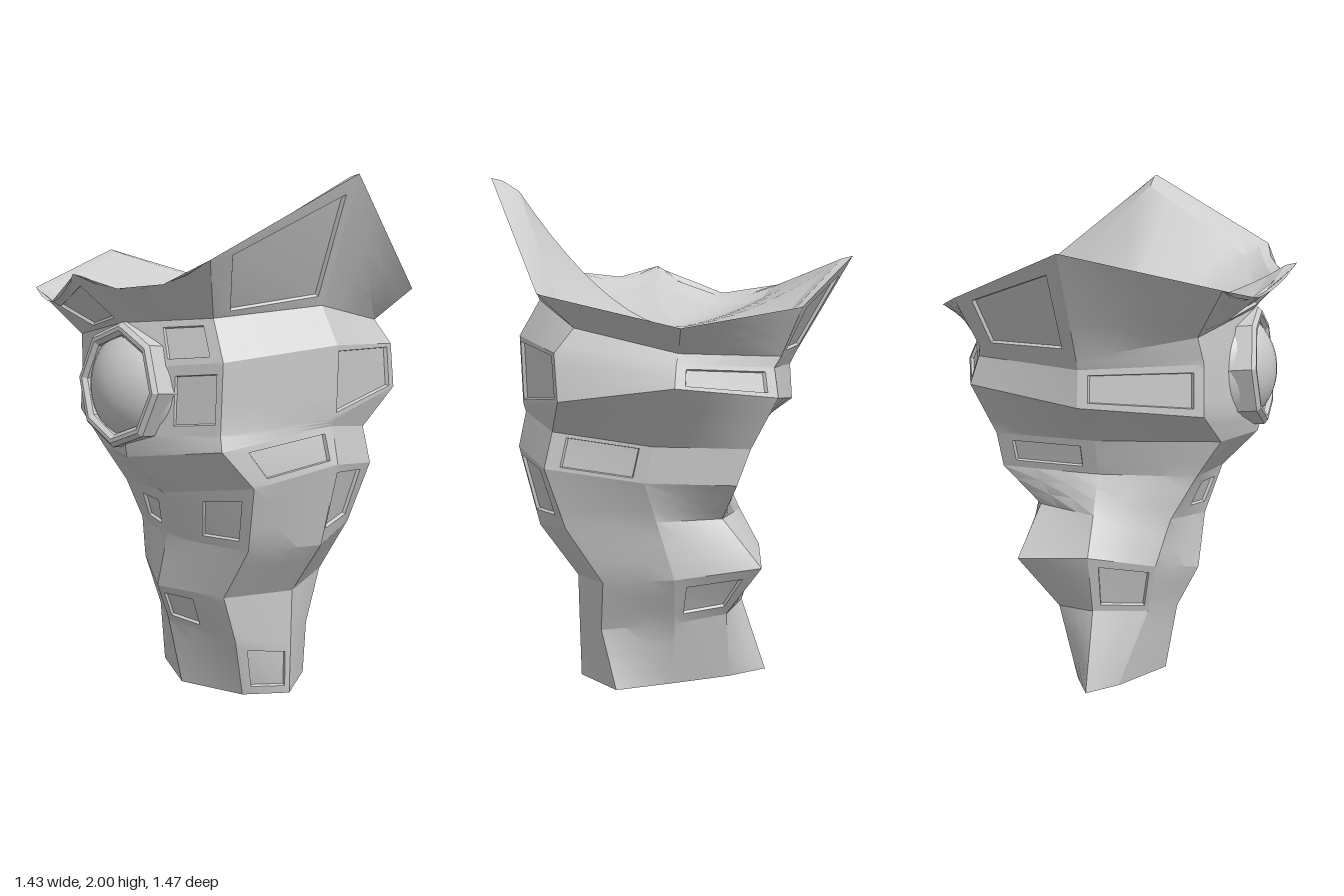
import * as THREE from 'three';
import { toCreasedNormals } from 'three/addons/utils/BufferGeometryUtils.js';

const V = (x, y, z) => new THREE.Vector3(x, y, z);
const mat = new THREE.MeshStandardMaterial({ color: 0xcccccc, side: THREE.DoubleSide });

// Eight-sided ring from its four extents; the diagonal corners are derived.
// Each extent is [distance, height]; front and back also carry a sideways shift.
// 'fr' and 'br' are how far the front right and back right corners bulge out.
function ring([lx, ly], [fz, fy, fx], [rx, ry], [bz, by, bx], fr = 0.76, br = 0.74) {
  const cx = (lx + rx) / 2, cz = (fz + bz) / 2, d = 0.76;
  const wx = (lx - rx) / 2, wz = (fz - bz) / 2;
  return [
    V(lx, ly, 0), V(cx + d * wx, (ly + fy) / 2, cz + d * wz),
    V(fx, fy, fz), V(cx - fr * wx, (fy + ry) / 2, cz + fr * wz),
    V(rx, ry, 0), V(cx - br * wx, (ry + by) / 2, cz - br * wz),
    V(bx, by, bz), V(cx + d * wx, (by + ly) / 2, cz - d * wz),
  ];
}

// Foot outline, then left, front, right and back extents up to the neck
const rings = [
  [
    V(0.38, 0, 0), V(0.27, 0, 0.15), V(0, 0, 0.23), V(-0.26, 0, 0.1),
    V(-0.38, 0, 0), V(-0.22, 0, -0.08), V(0.02, 0, -0.15), V(0.25, 0, -0.21),
  ],
  ring([0.385, 0.2], [0.28, 0.27, -0.02], [-0.28, 0.3], [-0.23, 0.27, 0.02], 0.67),
  ring([0.39, 0.42], [0.36, 0.43, 0.01], [-0.35, 0.53], [-0.33, 0.47, 0.03], 0.64, 0.9),
  ring([0.54, 0.63], [0.37, 0.64, 0.08], [-0.27, 0.68], [-0.34, 0.7, 0.1]),
  ring([0.62, 0.95], [0.43, 0.83, 0.13], [-0.2, 0.83], [-0.39, 0.86, 0.15], 0.88, 1),
  ring([0.59, 1.09], [0.575, 0.98, 0.1], [-0.25, 0.97], [-0.4, 1.0, 0.12], 0.8, 1),
  ring([0.6, 1.12], [0.595, 1.06, 0.11], [-0.48, 1.13], [-0.63, 1.24, 0.06]),
  ring([0.61, 1.39], [0.585, 1.31, 0.11], [-0.47, 1.27], [-0.59, 1.32, 0.05]),
  ring([0.53, 1.53], [0.56, 1.47, 0.06], [-0.49, 1.31], [-0.57, 1.36, 0.04]),
];
// Flared rim with uneven peaks; its two front edges sag between the corners
const rim = [
  V(0.71, 2, 0.01), V(0.52, 1.71, 0.54), V(0, 1.65, 0.73), V(-0.51, 1.57, 0.54),
  V(-0.72, 1.7, 0), V(-0.42, 1.52, -0.5), V(0.05, 1.46, -0.74), V(0.54, 1.57, -0.5),
];
rings.push(rim);
const rimSag = k => (k === 1 || k === 2 ? 0.075 : 0);
const sagAt = u => 4 * u * (1 - u);

// Recessed panels: 'band,side' -> [u0, u1, v0, v1]
const panels = {
  '0,0': [0.1, 0.8, 0.15, 0.85], '1,1': [0.5, 0.93, 0.15, 0.8], '1,3': [0.08, 0.85, 0.12, 0.85],
  '1,5': [0.15, 0.85, 0.2, 0.8], '3,1': [0.12, 0.55, 0.15, 0.8], '3,2': [0.15, 0.6, 0.25, 0.78],
  '3,7': [0.25, 0.96, 0.2, 0.9], '4,0': [0.08, 0.8, 0.15, 0.85], '4,4': [0.15, 0.85, 0.2, 0.8],
  '4,6': [0.12, 0.85, 0.1, 0.9], '6,1': [0.06, 0.48, 0.15, 0.85], '6,3': [0.08, 0.92, 0.15, 0.85],
  '6,5': [0.1, 0.9, 0.15, 0.85], '6,7': [0.08, 0.97, 0.07, 0.92], '7,1': [0.12, 0.55, 0.15, 0.85],
  '8,0': [0.06, 0.85, 0.08, 0.88], '8,2': [0.04, 0.55, 0.12, 0.82], '8,4': [0.12, 0.85, 0.1, 0.85],
};

function pushQuad(out, a, b, c, d) {
  for (const p of [a, d, c, a, c, b]) out.push(p.x, p.y, p.z);
}

function meshFrom(out, name, crease) {
  const g = new THREE.BufferGeometry();
  g.setAttribute('position', new THREE.Float32BufferAttribute(out, 3));
  const m = new THREE.Mesh(toCreasedNormals(g, crease), mat);
  m.name = name;
  return m;
}

// One side of a band, split into a grid; a panel sinks the middle cell
function face(out, [a, b, c, d], panel, sag) {
  const at = (u, v) => {
    const p = a.clone().lerp(b, u).lerp(d.clone().lerp(c, u), v);
    p.y -= sag * sagAt(u) * v;
    return p;
  };
  const us = panel ? [0, panel[0], panel[1], 1] : [0, 0.33, 0.67, 1];
  const vs = panel ? [0, panel[2], panel[3], 1] : [0, 0.33, 0.67, 1];
  for (let i = 0; i < 3; i++) for (let j = 0; j < 3; j++) {
    const q = [at(us[i], vs[j]), at(us[i + 1], vs[j]), at(us[i + 1], vs[j + 1]), at(us[i], vs[j + 1])];
    if (!panel || i !== 1 || j !== 1) { pushQuad(out, ...q); continue; }
    const n = q[2].clone().sub(q[0]).cross(q[1].clone().sub(q[3])).normalize();
    const mid = q[0].clone().lerp(q[2], 0.5);
    const low = q.map(p => p.clone().lerp(mid, 0.04).addScaledVector(n, -0.012));
    pushQuad(out, ...low);
    for (let k = 0; k < 4; k++) pushQuad(out, q[k], q[(k + 1) % 4], low[(k + 1) % 4], low[k]);
  }
}

function createBody() {
  const out = [];
  for (let i = 0; i < rings.length - 1; i++) for (let k = 0; k < 8; k++) {
    const n = (k + 1) % 8, lo = rings[i], hi = rings[i + 1];
    face(out, [lo[k], lo[n], hi[n], hi[k]], panels[`${i},${k}`], hi === rim ? rimSag(k) : 0);
  }
  // Underside
  const foot = V(0, 0, 0);
  for (let k = 0; k < 8; k++) pushQuad(out, foot, foot, rings[0][(k + 1) % 8], rings[0][k]);
  return meshFrom(out, 'body', 0.3);
}

function loft(loops) {
  const out = [], count = loops[0].length;
  for (let i = 0; i < loops.length - 1; i++) for (let k = 0; k < count; k++) {
    const n = (k + 1) % count;
    pushQuad(out, loops[i][k], loops[i][n], loops[i + 1][n], loops[i + 1][k]);
  }
  return out;
}

// Bevelled lip and a shallow dish inside the rim
function createBowl(group) {
  const edge = [];
  for (let k = 0; k < 8; k++) for (let s = 0; s < 6; s++) {
    const p = rim[k].clone().lerp(rim[(k + 1) % 8], s / 6);
    p.y -= rimSag(k) * sagAt(s / 6);
    edge.push(p);
  }
  const inset = (s, dy) => edge.map(p => V(p.x * s, p.y + dy, p.z * s));
  const lip = inset(0.94, -0.01), wall = inset(0.85, -0.05);
  group.add(meshFrom(loft([edge, lip, wall]), 'rimLip', 0.3));
  const floorY = 1.42, loops = [];
  for (let s = 10; s >= 0; s--) {
    const t = s / 10;
    loops.push(wall.map(p => V(p.x * t, floorY + (p.y - floorY) * t ** 1.7, p.z * t)));
  }
  group.add(meshFrom(loft(loops), 'bowlInterior', 0.9));
}

// Octagonal frame holding a polished dome
function createMedallion() {
  const g = new THREE.Group();
  g.name = 'medallion';
  const octagon = (path, r) => {
    for (let k = 0; k <= 8; k++) {
      const a = k * Math.PI / 4 - 0.04;
      path[k ? 'lineTo' : 'moveTo'](r * Math.cos(a), r * Math.sin(a));
    }
    return path;
  };
  const shape = octagon(new THREE.Shape(), 0.215);
  shape.holes.push(octagon(new THREE.Path(), 0.2));
  const frame = new THREE.Mesh(toCreasedNormals(new THREE.ExtrudeGeometry(shape, {
    depth: 0.09, bevelEnabled: true, bevelThickness: 0.015, bevelSize: 0.015, bevelSegments: 1,
  }), 0.3), mat);
  frame.name = 'medallionFrame';
  frame.position.z = -0.09;
  const dome = new THREE.Mesh(new THREE.SphereGeometry(0.255, 40, 28), mat);
  dome.name = 'medallionDome';
  dome.position.z = -0.195;
  g.add(frame, dome);
  g.position.set(0.07, 1.245, 0.59);
  g.rotation.x = -0.08;
  return g;
}

export function createModel() {
  const group = new THREE.Group();
  group.name = 'facetedGoblet';
  group.add(createBody());
  createBowl(group);
  group.add(createMedallion());
  return group;
}
